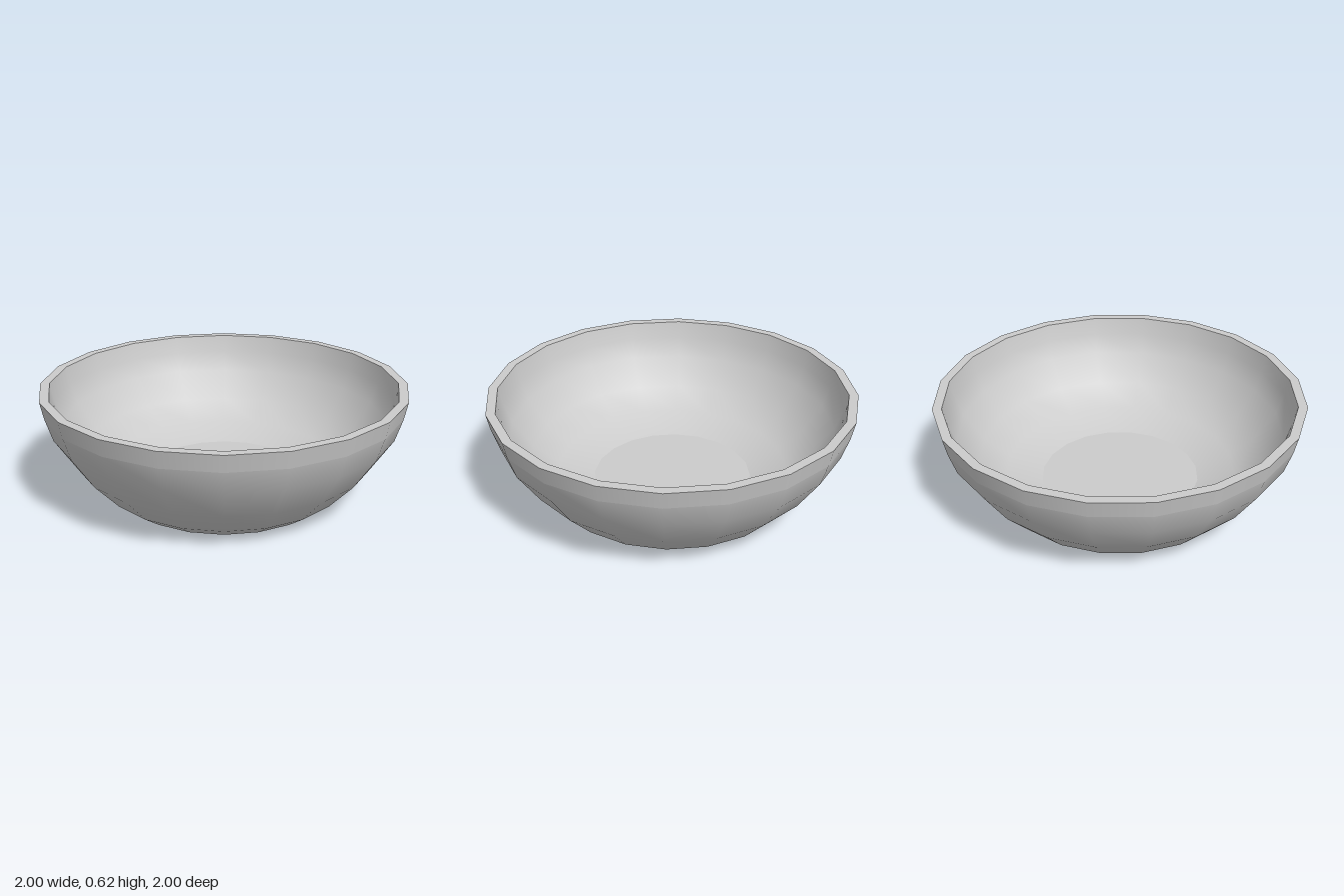
import * as THREE from 'three';

const SIDES = 20;

// Profiles are [radius, height]; each one is smooth in itself, with a crease where two meet.
// Together they run from under the base, up the outside, over the rim and down to the floor.
const PROFILES = {
  baseUnderside: [[0, 0.02], [0.42, 0.02]],
  footBevel: [[0.42, 0.02], [0.56, 0]],
  footRing: [[0.56, 0], [0.58, 0]],
  outerWall: [[0.58, 0], [0.68, 0.07], [0.82, 0.22], [0.94, 0.4], [0.98, 0.525]],
  outerBand: [[0.98, 0.525], [1, 0.62]],
  rim: [[1, 0.62], [0.95, 0.62]],
  innerWall: [[0.95, 0.62], [0.93, 0.525], [0.89, 0.41], [0.78, 0.26], [0.64, 0.155], [0.44, 0.1]],
  floor: [[0.44, 0.1], [0, 0.1]],
};

export function createModel() {
  const bowl = new THREE.Group();
  bowl.name = 'bowl';
  const material = new THREE.MeshStandardMaterial({ color: 0xcccccc });

  for (const [name, profile] of Object.entries(PROFILES)) {
    const points = profile.map(([r, y]) => new THREE.Vector2(r, y));
    const part = new THREE.Mesh(new THREE.LatheGeometry(points, SIDES), material);
    part.name = name;
    bowl.add(part);
  }
  return bowl;
}
